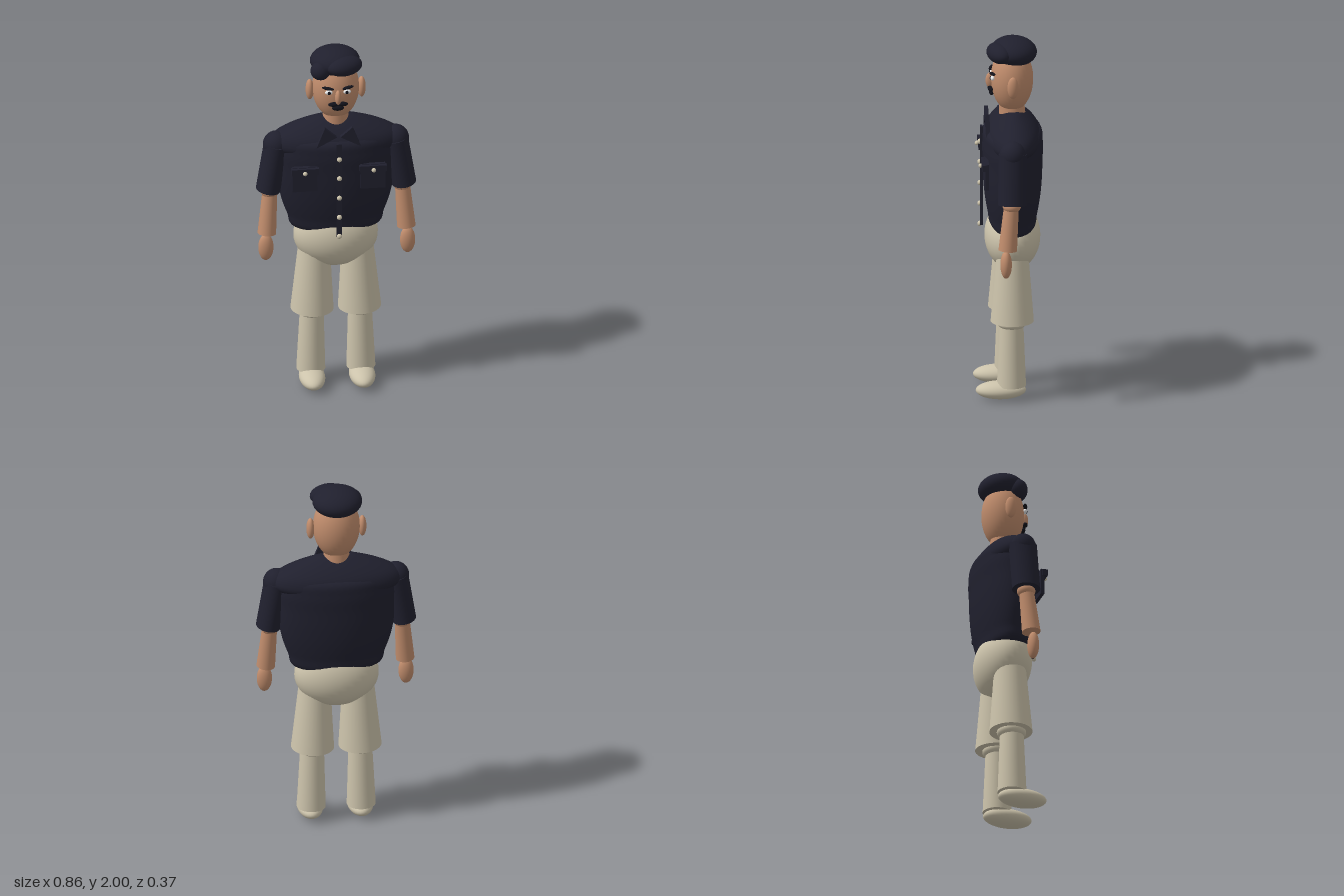
import * as THREE from 'three';

const mat = (name, color) => {
  const m = new THREE.MeshStandardMaterial({ color });
  m.name = name;
  return m;
};

export function createModel() {
  const root = new THREE.Group();
  root.name = 'uniformedMan';
  const navy = mat('navy cloth', 0x20202e);
  const skin = mat('skin', 0xc08c6c);
  const khaki = mat('khaki cloth', 0xccc3ab);
  const black = mat('black hair', 0x12121a);
  const white = mat('eye white', 0xe6e6e6);

  const add = (name, geo, m, p = [0, 0, 0], rot = [0, 0, 0]) => {
    const mesh = new THREE.Mesh(geo, m);
    mesh.name = name;
    mesh.position.set(...p);
    mesh.rotation.set(...rot);
    root.add(mesh);
    return mesh;
  };
  const ball = (name, m, p, r, rot) => {
    const g = new THREE.SphereGeometry(1, 32, 24);
    g.scale(...r);
    return add(name, g, m, p, rot);
  };
  const box = (name, m, p, s, rot) => add(name, new THREE.BoxGeometry(...s), m, p, rot);
  // Capped cone between two points, optionally deeper along z
  const limb = (name, m, a, b, ra, rb, depth = 1) => {
    const va = new THREE.Vector3(...a), vb = new THREE.Vector3(...b);
    const dir = va.clone().sub(vb);
    const g = new THREE.CylinderGeometry(ra, rb, dir.length(), 32);
    g.scale(1, 1, depth);
    const mesh = add(name, g, m, va.clone().add(vb).multiplyScalar(0.5).toArray());
    mesh.quaternion.setFromUnitVectors(new THREE.Vector3(0, 1, 0), dir.normalize());
  };
  // Lathe whose section is an ellipse
  const turned = (name, m, pts, depth, z) => {
    const curve = new THREE.SplineCurve(pts.map(p => new THREE.Vector2(...p)));
    const g = new THREE.LatheGeometry(curve.getPoints(40).map(p => p.setX(Math.max(p.x, 0))), 48);
    g.scale(1, 1, depth);
    return add(name, g, m, [0, 0, z]);
  };

  // Shirt body and shoulder yoke
  turned('shirtBody', navy, [[0, 0.94], [0.22, 0.942], [0.262, 1.02], [0.295, 1.12], [0.312, 1.22],
    [0.318, 1.32], [0.322, 1.42], [0.28, 1.5], [0, 1.54]], 0.505, -0.02);
  turned('shirtYoke', navy, [[0.3, 1.4], [0.345, 1.425], [0.357, 1.46], [0.325, 1.505], [0.24, 1.55],
    [0.13, 1.588], [0.07, 1.6], [0, 1.6]], 0.42, -0.022);

  // Trouser seat
  ball('trouserSeat', khaki, [0, 0.885, -0.02], [0.228, 0.185, 0.15]);

  for (const s of [-1, 1]) {
    const side = s > 0 ? 'left' : 'right';
    // Arms
    ball(side + 'Shoulder', navy, [s * 0.322, 1.445, -0.005], [0.072, 0.075, 0.07]);
    limb(side + 'Sleeve', navy, [s * 0.322, 1.45, -0.005], [s * 0.366, 1.178, 0], 0.066, 0.066, 1.16);
    ball(side + 'Elbow', skin, [s * 0.357, 1.17, 0.002], [0.05, 0.038, 0.05]);
    limb(side + 'Forearm', skin, [s * 0.357, 1.17, 0.004], [s * 0.376, 0.925, 0.025], 0.04, 0.05);
    ball(side + 'Hand', skin, [s * 0.382, 0.845, 0.034], [0.041, 0.077, 0.031]);

    // Legs
    limb(side + 'Thigh', khaki, [s * 0.117, 0.82, -0.014], [s * 0.128, 0.44, -0.012], 0.085, 0.116);
    ball(side + 'Knee', khaki, [s * 0.13, 0.435, -0.01], [0.077, 0.045, 0.079]);
    limb(side + 'Shin', khaki, [s * 0.13, 0.43, -0.008], [s * 0.135, 0.078, -0.008], 0.064, 0.078);
    ball(side + 'Foot', khaki, [s * 0.135, 0.052, 0.049], [0.07, 0.049, 0.135]);

    // Breast pocket with flap and button
    box(side + 'Pocket', navy, [s * 0.183, 1.295, 0.128], [0.135, 0.145, 0.02]);
    box(side + 'PocketFlap', navy, [s * 0.183, 1.347, 0.141], [0.147, 0.036, 0.028]);
    ball(side + 'PocketButton', khaki, [s * 0.185, 1.342, 0.16], [0.012, 0.012, 0.012]);

    // Collar point
    const flap = new THREE.Shape([[0.075, 1.592], [0.01, 1.535], [0.12, 1.475]]
      .map(([x, y]) => new THREE.Vector2(s * x, y)));
    add(side + 'Collar', new THREE.ExtrudeGeometry(flap, { depth: 0.022, bevelEnabled: false }), navy, [0, 0, 0.106]);

    // Face halves
    ball(side + 'Ear', skin, [s * 0.14, 1.762, -0.016], [0.022, 0.06, 0.03]);
    ball(side + 'Eye', white, [s * 0.049, 1.79, 0.089], [0.021, 0.013, 0.012]);
    ball(side + 'Pupil', black, [s * 0.048, 1.79, 0.098], [0.009, 0.01, 0.006]);
    ball(side + 'Eyebrow', black, [s * 0.054, 1.815, 0.09], [0.033, 0.008, 0.012], [0, s * 0.3, s * 0.1]);
    ball(side + 'Moustache', black, [s * 0.025, 1.722, 0.099], [0.029, 0.012, 0.014], [0, s * 0.15, s * -0.1]);
  }

  // Button strip
  box('placket', navy, [0, 1.225, 0.146], [0.03, 0.56, 0.014]);
  for (const y of [1.415, 1.3, 1.182, 1.065, 0.95]) {
    ball('shirtButton', khaki, [0, y, 0.156], [0.014, 0.014, 0.012]);
  }

  // Head and neck
  limb('neck', skin, [0, 1.66, -0.015], [0, 1.55, -0.02], 0.066, 0.072);
  ball('head', skin, [0, 1.77, -0.018], [0.126, 0.182, 0.114]);
  ball('nose', skin, [0, 1.762, 0.1], [0.017, 0.043, 0.024]);
  ball('chinTuft', black, [0, 1.695, 0.092], [0.032, 0.015, 0.013]);

  // Soft beret with folds
  ball('beretCrown', navy, [-0.003, 1.925, -0.028], [0.134, 0.077, 0.124], [-0.06, 0, 0]);
  ball('beretFold', navy, [0.04, 1.928, 0.052], [0.1, 0.054, 0.064], [0, 0.3, 0]);
  ball('beretPleat', navy, [-0.088, 1.9, 0.04], [0.054, 0.052, 0.05]);

  return root;
}
